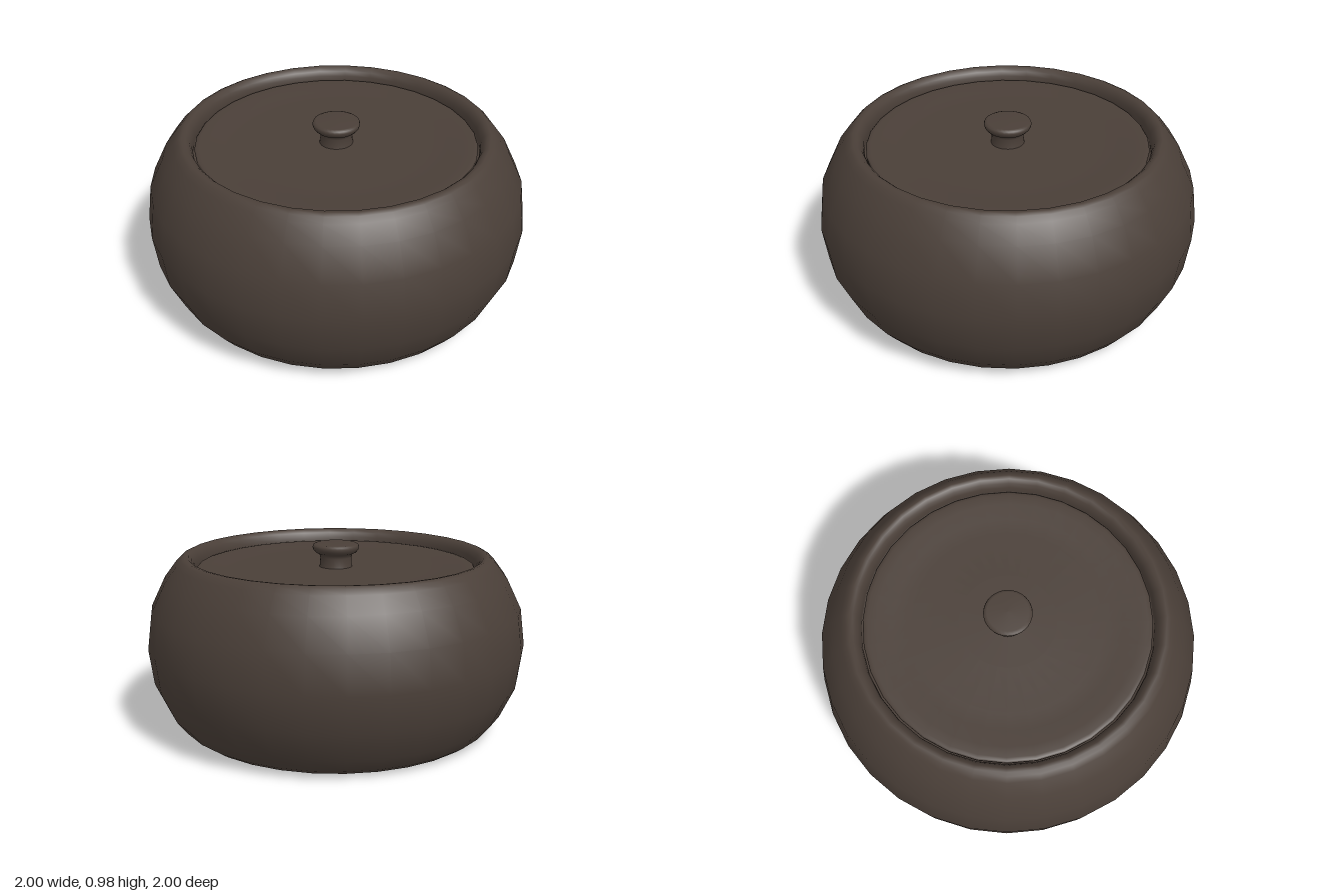
import * as THREE from 'three';

const SEGMENTS = 32;

export function createModel() {
  const group = new THREE.Group();
  group.name = 'lidded pot';

  const clay = new THREE.MeshStandardMaterial({ color: 0x4a3f38 });
  clay.name = 'dark brown clay';

  // Turned part from [radius, height] pairs, running outward and upward
  const turned = (name, profile) => {
    const points = profile.map(([r, y]) => new THREE.Vector2(r, y));
    const mesh = new THREE.Mesh(new THREE.LatheGeometry(points, SEGMENTS), clay);
    mesh.name = name;
    group.add(mesh);
  };

  // Squat round body with a rolled rim and the ledge that carries the lid
  turned('body', [
    [0, 0], [0.7, 0], [0.765, 0.002], [0.8, 0.012], [0.84, 0.04], [0.9, 0.115],
    [0.975, 0.275], [1, 0.463], [0.975, 0.655], [0.9, 0.81], [0.84, 0.89],
    [0.815, 0.915], [0.795, 0.925], [0.775, 0.922], [0.757, 0.905],
    [0.746, 0.88], [0.742, 0.85], [0.742, 0.81], [0.68, 0.81],
  ]);

  // Lid with a soft raised border and a shallow dished centre
  turned('lid', [
    [0, 0.825], [0.73, 0.825], [0.734, 0.855], [0.727, 0.862], [0.71, 0.865],
    [0.66, 0.864], [0.58, 0.856], [0.48, 0.85], [0.25, 0.853], [0, 0.856],
  ]);

  // Mushroom-shaped knob
  turned('knob', [
    [0.088, 0.85], [0.084, 0.87], [0.082, 0.905], [0.088, 0.922], [0.107, 0.931],
    [0.119, 0.945], [0.123, 0.96], [0.119, 0.971], [0.105, 0.977], [0, 0.979],
  ]);

  return group;
}
